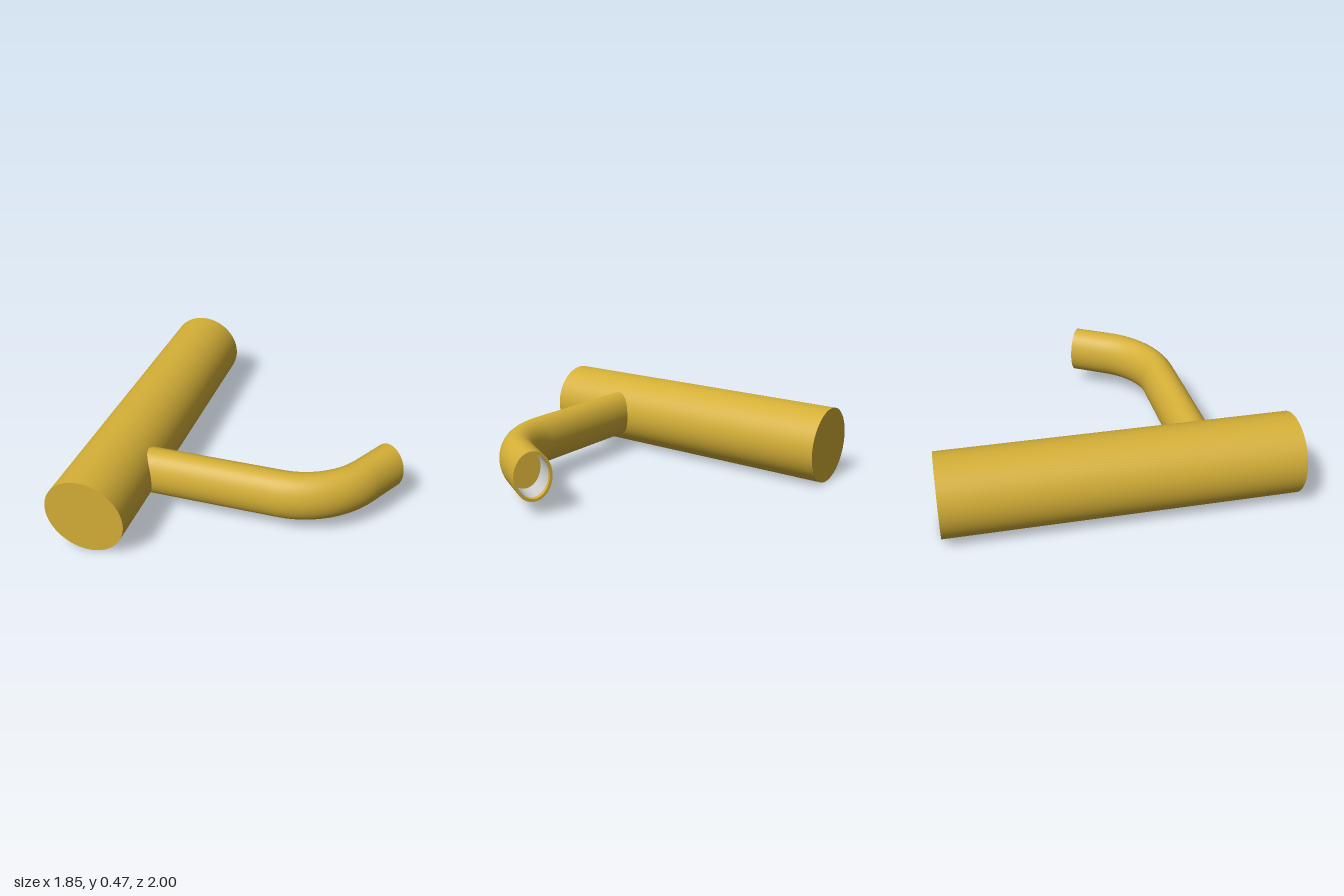
import * as THREE from 'three';

const SEG = 64;
const CY = 0.234; // height of both pipe axes

// Skin over elliptical sections; each section is {x, z, angle, a: half width, b: half height}
function sweep(sections) {
  const pos = [], idx = [];
  sections.forEach(({ x, z, angle, a, b }, i) => {
    for (let j = 0; j < SEG; j++) {
      const u = (j / SEG) * Math.PI * 2, w = a * Math.cos(u);
      pos.push(x + w * Math.sin(angle), CY + b * Math.sin(u), z + w * Math.cos(angle));
      if (i === sections.length - 1) continue;
      const p = i * SEG + j, q = i * SEG + ((j + 1) % SEG);
      idx.push(p, p + SEG, q, q, p + SEG, q + SEG);
    }
  });
  const geo = new THREE.BufferGeometry();
  geo.setAttribute('position', new THREE.Float32BufferAttribute(pos, 3));
  geo.setIndex(idx);
  geo.computeVertexNormals();
  return geo;
}

export function createModel() {
  const model = new THREE.Group();
  const gold = new THREE.MeshStandardMaterial({ color: 0xd4af37 });
  const grey = new THREE.MeshStandardMaterial({ color: 0xcccccc });
  const add = (name, geo, mat) => {
    const mesh = new THREE.Mesh(geo, mat);
    mesh.name = name;
    model.add(mesh);
    return mesh;
  };

  // Solid main pipe lying along z
  const main = add('mainPipe', new THREE.CylinderGeometry(CY, CY, 2, 96), gold);
  main.rotation.x = Math.PI / 2;
  main.position.set(-0.695, CY, 0);

  // Branch: straight run, 60 degree bend, short straight end
  const A = 0.112, B = 0.147, R = 0.497, bendX = 0.28, z0 = 0.49;
  const bend = Math.PI / 3, endLength = 0.225;
  const wall = [{ x: -0.6, z: z0, angle: 0, a: A, b: B }];
  for (let i = 0; i <= 24; i++) {
    const t = (bend * i) / 24;
    wall.push({ x: bendX + R * Math.sin(t), z: z0 - R * (1 - Math.cos(t)), angle: t, a: A, b: B });
  }
  const last = wall[wall.length - 1];
  const tip = {
    x: last.x + endLength * Math.cos(bend),
    z: last.z - endLength * Math.sin(bend),
  };
  wall.push({ ...tip, angle: bend, a: A, b: B });
  add('branchPipe', sweep(wall), gold);

  // Open mouth: rim, short lip, recessed grey lining and a plug at the bottom
  const at = (depth, a, b) => ({
    x: tip.x - depth * Math.cos(bend), z: tip.z + depth * Math.sin(bend), angle: bend, a, b,
  });
  const a = 0.097, b = 0.13;
  add('mouthRim', sweep([at(0, A, B), at(0, a, b)]), gold);
  add('mouthLip', sweep([at(0, a, b), at(0.028, a, b)]), gold);
  add('mouthLining', sweep([at(0.028, a, b), at(0.18, a, b)]), grey);
  add('mouthPlug', sweep([at(0.18, a, b), at(0.18, 0, 0)]), gold);

  return model;
}
